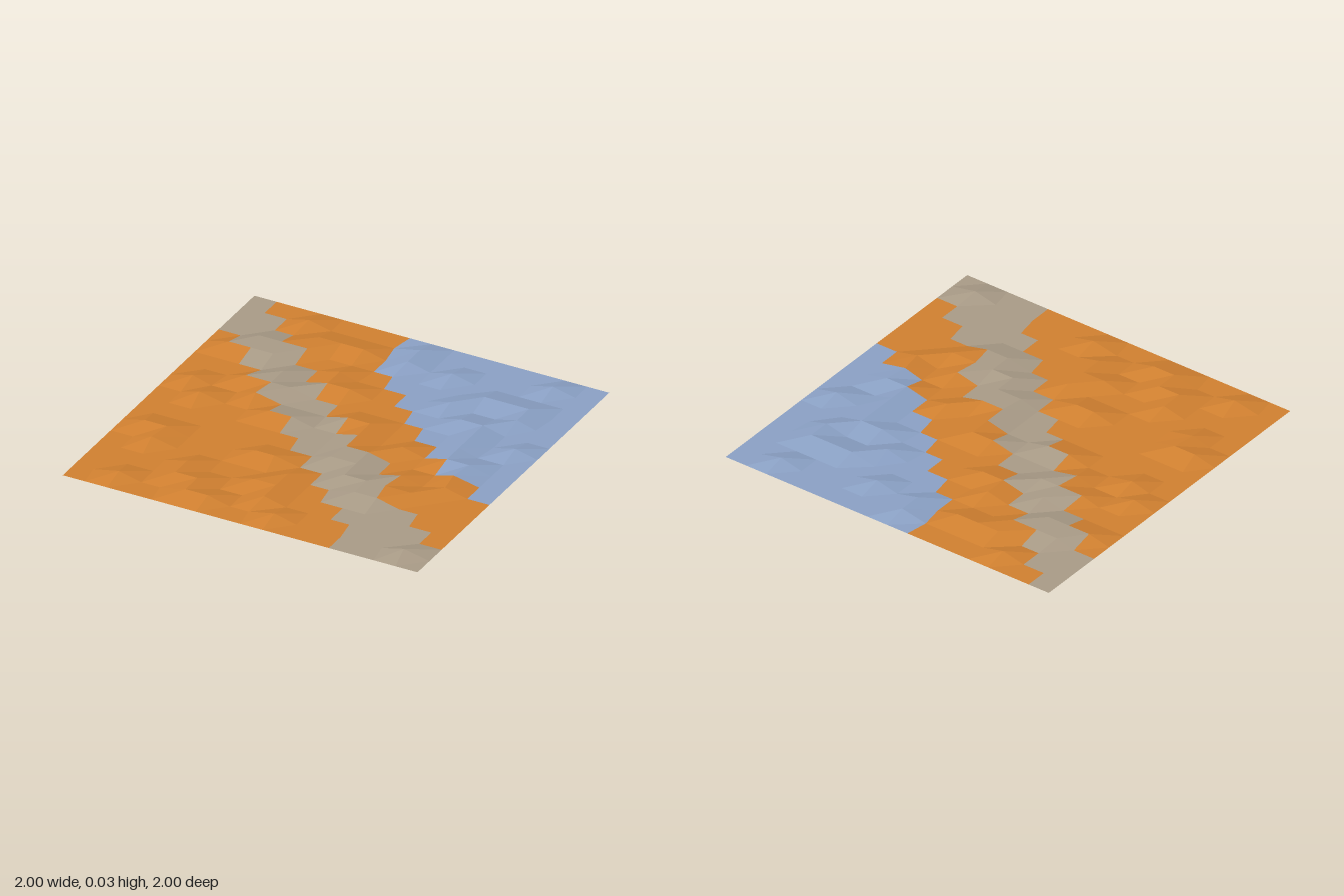
import * as THREE from 'three';

const CELLS = 16, STEP = 2 / CELLS, BUMP = 0.03;

// Per row from back to front: first path cell, end of path, first water cell
const ROWS = [
  [0, 1, 7], [0, 2, 7], [0, 3, 7], [1, 4, 8], [2, 5, 9], [3, 6, 10], [4, 7, 11], [5, 8, 12],
  [6, 9, 13], [7, 11, 15], [8, 12, 16], [9, 12, 16], [10, 14, 16], [11, 15, 16], [12, 16, 16], [12, 16, 16],
];

function seeded(seed) {
  return () => {
    seed = (seed * 1664525 + 1013904223) % 4294967296;
    return seed / 4294967296;
  };
}

// Grid points: flat rim, with scattered low bumps and slight sideways drift inside
function makeGrid() {
  const random = seeded(41);
  const grid = [];
  for (let j = 0; j <= CELLS; j++) {
    grid.push([]);
    for (let i = 0; i <= CELLS; i++) {
      const inside = i > 0 && j > 0 && i < CELLS && j < CELLS;
      const raised = random() < 0.27, drift = random() < 0.15;
      grid[j].push([
        -1 + i * STEP - (inside && drift ? 0.02 : 0),
        inside && raised ? BUMP : 0,
        -1 + j * STEP,
      ]);
    }
  }
  return grid;
}

function groundAt(i, j) {
  const [pathStart, pathEnd, waterStart] = ROWS[j];
  if (i >= waterStart) return 'water';
  return i >= pathStart && i < pathEnd ? 'path' : 'earth';
}

// All cells of one ground type, two triangles each
function makeGround(grid, name, color) {
  const points = [];
  for (let j = 0; j < CELLS; j++) {
    for (let i = 0; i < CELLS; i++) {
      if (groundAt(i, j) !== name) continue;
      const a = grid[j][i], b = grid[j + 1][i], c = grid[j + 1][i + 1], d = grid[j][i + 1];
      points.push(...a, ...b, ...d, ...b, ...c, ...d);
    }
  }
  const geometry = new THREE.BufferGeometry();
  geometry.setAttribute('position', new THREE.Float32BufferAttribute(points, 3));
  geometry.computeVertexNormals();
  const material = new THREE.MeshStandardMaterial({ color, flatShading: true, side: THREE.DoubleSide });
  const mesh = new THREE.Mesh(geometry, material);
  mesh.name = name;
  return mesh;
}

export function createModel() {
  const model = new THREE.Group();
  model.name = 'groundTile';
  const grid = makeGrid();
  model.add(
    makeGround(grid, 'earth', 0xd08030),
    makeGround(grid, 'path', 0xa89a86),
    makeGround(grid, 'water', 0x8aa0c4),
  );
  return model;
}
